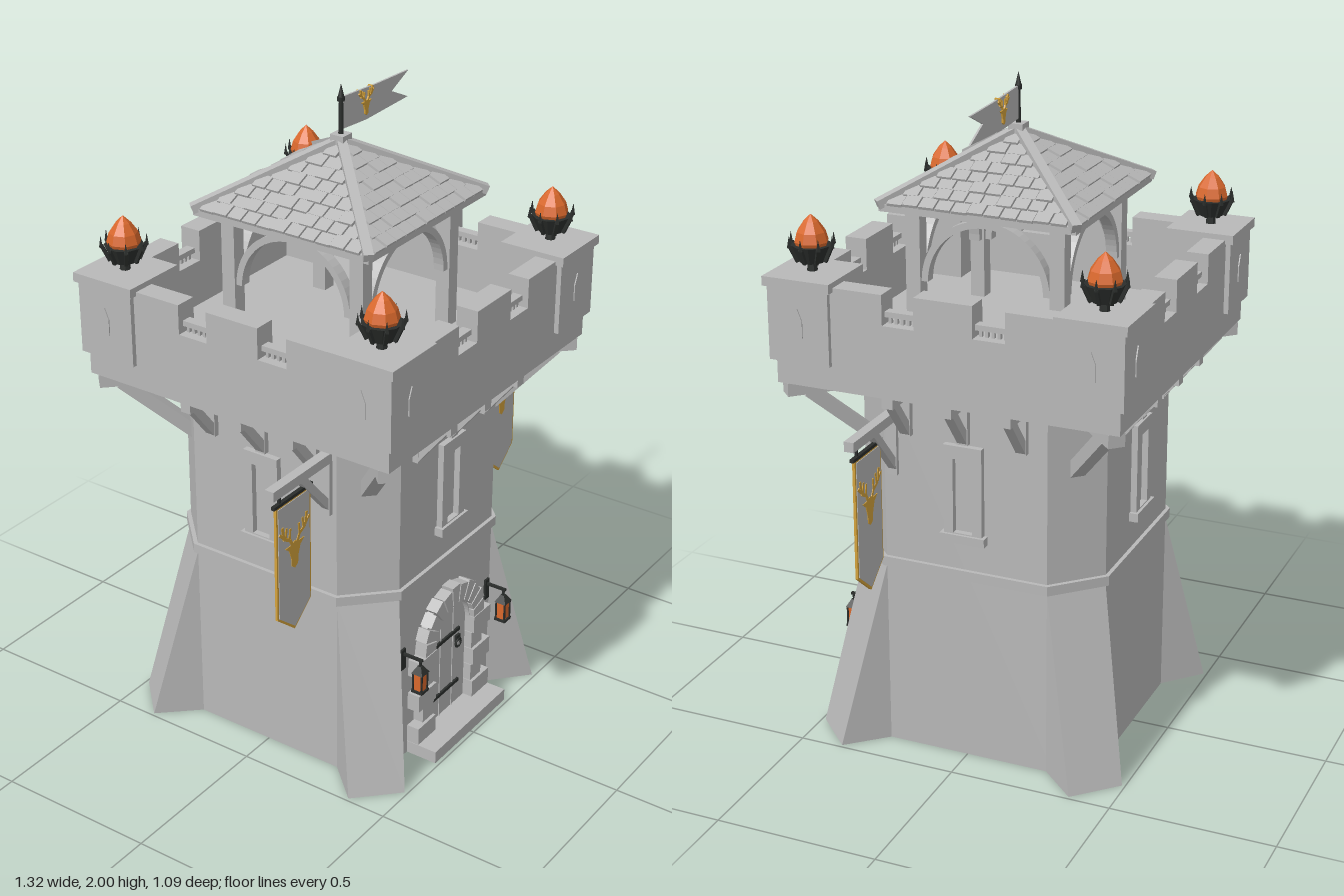
import * as THREE from 'three';
import { ConvexGeometry } from 'three/addons/geometries/ConvexGeometry.js';

const mat = (name, color) => Object.assign(new THREE.MeshStandardMaterial({ color }), { name });
const stone = mat('stone', 0xb8b8b8), iron = mat('iron', 0x2b2e2c);
const flame = mat('flame', 0xd9682c), gold = mat('gold', 0xd4a23c);
const V = (x, y, z) => new THREE.Vector3(x, y, z);

// every face is flat shaded through its own normals
function add(parent, name, geo, m, x = 0, y = 0, z = 0) {
  const g = geo.index ? geo.toNonIndexed() : geo;
  g.computeVertexNormals();
  const mesh = new THREE.Mesh(g, m);
  mesh.name = name;
  mesh.position.set(x, y, z);
  parent.add(mesh);
  return mesh;
}
const box = (p, name, w, h, d, m, x, y, z) => add(p, name, new THREE.BoxGeometry(w, h, d), m, x, y, z);
function beam(p, name, a, b, w, h, m) {
  const mid = a.clone().add(b).multiplyScalar(0.5);
  const mesh = box(p, name, w, h, a.distanceTo(b), m, mid.x, mid.y, mid.z);
  mesh.quaternion.setFromRotationMatrix(new THREE.Matrix4().lookAt(b, a, V(0, 1, 0)));
  return mesh;
}
const poly = pts => new THREE.Shape(pts.map(p => new THREE.Vector2(p[0], p[1])));
const slab = (shape, depth) => new THREE.ExtrudeGeometry(shape, { depth, bevelEnabled: false, curveSegments: 14 });
const group = (parent, name) => {
  const g = new THREE.Group();
  g.name = name;
  parent.add(g);
  return g;
};
// four copies turned about the tower
function fourSides(parent, name, build) {
  for (let k = 0; k < 4; k++) {
    const g = group(parent, name);
    g.rotation.y = k * Math.PI / 2;
    build(g, k);
  }
}
// square with cut corners, a = half width, c = half length of a flat side
const octagon = (a, c) => poly([[c, -a], [a, -c], [a, c], [c, a], [-c, a], [-a, c], [-a, -c], [-c, -a]]);
function octPrism(p, name, shape, y0, y1) {
  add(p, name, slab(shape, y1 - y0), stone, 0, y0, 0).rotation.x = -Math.PI / 2;
}
// arch band between two radii
function archBand(r0, r1) {
  const s = new THREE.Shape();
  s.absarc(0, 0, r1, 0, Math.PI, false);
  s.absarc(0, 0, r0, Math.PI, 0, true);
  return s;
}
// gold antlered head, centred on its own origin, visible from both faces
function emblem(parent, x, y, z, s) {
  const g = group(parent, 'emblem');
  g.position.set(x, y, z);
  g.scale.set(s, s, 1);
  const d = 0.016;
  add(g, 'emblemHead', slab(poly([[0, -0.08], [0.014, -0.07], [0.016, -0.045], [0.026, -0.015], [0.045, 0],
    [0.02, 0], [0, 0.008], [-0.02, 0], [-0.045, 0], [-0.026, -0.015], [-0.016, -0.045], [-0.014, -0.07]]), d), gold, 0, 0, -d / 2);
  for (const m of [-1, 1]) {
    const path = [[0.012, 0], [0.022, 0.02], [0.05, 0.035], [0.057, 0.075]];
    for (let i = 0; i < 3; i++) beam(g, 'antler', V(m * path[i][0], path[i][1], 0), V(m * path[i + 1][0], path[i + 1][1], 0), d, 0.01, gold);
    beam(g, 'antlerTine', V(m * 0.024, 0.02, 0), V(m * 0.02, 0.055, 0), d, 0.008, gold);
    beam(g, 'antlerTine', V(m * 0.043, 0.03, 0), V(m * 0.037, 0.065, 0), d, 0.008, gold);
    beam(g, 'antlerTine', V(m * 0.052, 0.04, 0), V(m * 0.07, 0.058, 0), d, 0.008, gold);
  }
}

function buildBody(root) {
  const base = octagon(0.385, 0.255);
  base.holes.push(octagon(0.32, 0.29));
  octPrism(root, 'baseRing', base, 0, 0.05);
  octPrism(root, 'towerWall', octagon(0.385, 0.255), 0.05, 1.165);
  octPrism(root, 'stringCourse', octagon(0.397, 0.261), 0.583, 0.613);
  fourSides(root, 'wallSide', g => {
    // sloped corner buttress
    add(g, 'buttress', new ConvexGeometry([V(0.255, 0.583, 0.385), V(0.385, 0.583, 0.255), V(0.255, 0, 0.385),
      V(0.385, 0, 0.255), V(0.37, 0, 0.49), V(0.49, 0, 0.37)]), stone);
    // slit window
    const frame = poly([[-0.06, 0.72], [0.06, 0.72], [0.06, 1.005], [-0.06, 1.005]]);
    frame.holes.push(poly([[-0.03, 0.735], [-0.03, 0.965], [0.03, 0.965], [0.03, 0.735]]));
    add(g, 'windowFrame', slab(frame, 0.022), stone, 0, 0, 0.382);
    box(g, 'windowSill', 0.14, 0.027, 0.035, stone, 0, 0.718, 0.395);
    // small brackets below the platform
    for (const x of [-0.18, 0, 0.18]) {
      box(g, 'bracketPost', 0.034, 0.155, 0.02, stone, x, 1.088, 0.393);
      box(g, 'bracketArm', 0.034, 0.035, 0.13, stone, x, 1.148, 0.445);
      beam(g, 'bracketBrace', V(x, 1.02, 0.39), V(x, 1.14, 0.485), 0.03, 0.026, stone);
    }
    // large corner bracket
    beam(g, 'cornerArm', V(0.3, 1.145, 0.3), V(0.505, 1.145, 0.505), 0.05, 0.04, stone);
    beam(g, 'cornerBrace', V(0.31, 0.95, 0.31), V(0.46, 1.135, 0.46), 0.045, 0.04, stone);
  });
}

function buildDoor(root) {
  const g = group(root, 'doorway');
  box(g, 'doorStep', 0.4, 0.04, 0.11, stone, 0, 0.02, 0.433);
  const door = poly([[-0.105, 0.04], [0.105, 0.04]]);
  door.absarc(0, 0.33, 0.105, 0, Math.PI, false);
  add(g, 'door', slab(door, 0.01), stone, 0, 0, 0.382);
  for (const x of [-0.035, 0.035]) box(g, 'doorPlankSeam', 0.004, 0.36, 0.004, stone, x, 0.22, 0.393);
  for (const y of [0.12, 0.31]) box(g, 'hinge', 0.17, 0.011, 0.008, iron, -0.018, y, 0.395);
  add(g, 'doorRing', new THREE.TorusGeometry(0.014, 0.004, 5, 10), iron, 0.058, 0.262, 0.399);
  box(g, 'ringPlate', 0.022, 0.022, 0.008, iron, 0.058, 0.278, 0.396);
  for (const m of [-1, 1]) {
    for (let i = 0; i < 5; i++) {
      const w = i % 2 ? 0.06 : 0.095, d = i % 2 ? 0.038 : 0.046;
      box(g, 'jambStone', w, 0.057, d, stone, m * (0.105 + w / 2), 0.07 + i * 0.0595, 0.38 + d / 2);
    }
  }
  add(g, 'archRim', slab(archBand(0.104, 0.155), 0.025), stone, 0, 0.335, 0.382);
  // wedge stones round the arch
  for (let i = 0; i < 11; i++) {
    const a = Math.PI * (i + 0.5) / 11, r = i % 2 ? 0.17 : 0.164;
    const wedge = poly([[0.106, -0.013], [r, -0.021], [r, 0.021], [0.106, 0.013]]);
    add(g, 'archStone', slab(wedge, 0.042), stone, 0, 0.335, 0.382).rotation.z = a;
  }
  // hanging lanterns
  for (const m of [-1, 1]) {
    const l = group(g, 'lantern');
    l.position.set(m * 0.235, 0, 0.45);
    box(l, 'lanternGlow', 0.028, 0.06, 0.028, flame, 0, 0.308, 0);
    box(l, 'lanternBase', 0.038, 0.008, 0.038, iron, 0, 0.275, 0);
    add(l, 'lanternCap', new THREE.CylinderGeometry(0.009, 0.028, 0.024, 4).rotateY(Math.PI / 4), iron, 0, 0.349, 0);
    for (const a of [-1, 1]) for (const b of [-1, 1]) box(l, 'lanternBar', 0.005, 0.065, 0.005, iron, a * 0.015, 0.307, b * 0.015);
    box(l, 'lanternHook', 0.006, 0.022, 0.006, iron, 0, 0.37, 0);
    box(l, 'lanternArm', 0.008, 0.008, 0.075, iron, 0, 0.38, -0.03);
    box(l, 'lanternPlate', 0.022, 0.07, 0.008, iron, 0, 0.36, -0.062);
  }
}

function buildBattlements(root) {
  box(root, 'platform', 1.04, 0.075, 1.04, stone, 0, 1.2025, 0);
  const wall = poly([[-0.36, 1.235], [0.36, 1.235], [0.36, 1.47], [0.185, 1.47], [0.185, 1.38], [0.088, 1.38],
    [0.088, 1.475], [-0.088, 1.475], [-0.088, 1.38], [-0.185, 1.38], [-0.185, 1.47], [-0.36, 1.47]]);
  const slit = poly([[-0.014, 1.315], [0.014, 1.315], [0.014, 1.365], [0, 1.4], [-0.014, 1.365]]);
  fourSides(root, 'battlement', g => {
    add(g, 'parapet', slab(wall, 0.068), stone, 0, 0, 0.452);
    // little railing in each gap
    for (const m of [-1, 1]) {
      box(g, 'gapRail', 0.1, 0.016, 0.03, stone, m * 0.137, 1.408, 0.486);
      for (let i = 0; i < 5; i++) box(g, 'baluster', 0.009, 0.022, 0.012, stone, m * (0.1 + i * 0.0185), 1.39, 0.486);
      add(g, 'arrowSlit', slab(slit, 0.006), stone, m * 0.44, 0, 0.5325);
    }
    box(g, 'cornerTurret', 0.19, 0.222, 0.19, stone, 0.44, 1.349, 0.44);
    box(g, 'turretCap', 0.21, 0.028, 0.21, stone, 0.44, 1.472, 0.44);
    // fire basket
    const f = group(g, 'fireBasket');
    f.position.set(0.44, 1.485, 0.44);
    add(f, 'basketStem', new THREE.CylinderGeometry(0.012, 0.016, 0.035, 8), iron, 0, 0.017, 0);
    add(f, 'basketBowl', new THREE.CylinderGeometry(0.058, 0.036, 0.05, 10), iron, 0, 0.052, 0);
    for (let i = 0; i < 8; i++) {
      const a = i * Math.PI / 4, c = Math.cos(a), s = Math.sin(a);
      beam(f, 'basketSpike', V(c * 0.042, 0.03, s * 0.042), V(c * 0.064, 0.078, s * 0.064), 0.01, 0.01, iron);
      add(f, 'spikeTip', new THREE.ConeGeometry(0.007, 0.035, 4), iron, c * 0.065, 0.09, s * 0.065);
    }
    const profile = [[0, 0], [0.042, 0.003], [0.05, 0.022], [0.042, 0.05], [0.022, 0.079], [0, 0.1]];
    add(f, 'fire', new THREE.LatheGeometry(profile.map(p => new THREE.Vector2(...p)), 8), flame, 0, 0.065, 0);
  });
}

function buildPavilion(root) {
  const pitch = Math.atan2(0.17, 0.3), rows = 8;
  add(root, 'roofCore', new THREE.CylinderGeometry(0.015, 0.3 * Math.SQRT2, 0.165, 4).rotateY(Math.PI / 4), stone, 0, 1.7375, 0);
  box(root, 'eaves', 0.6, 0.022, 0.6, stone, 0, 1.647, 0);
  box(root, 'roofCap', 0.045, 0.03, 0.045, stone, 0, 1.838, 0);
  fourSides(root, 'pavilionSide', g => {
    box(g, 'post', 0.045, 0.4, 0.045, stone, 0.222, 1.43, 0.222);
    box(g, 'headBeam', 0.49, 0.026, 0.045, stone, 0, 1.63, 0.222);
    add(g, 'archBrace', slab(archBand(0.178, 0.198), 0.034), stone, 0, 1.424, 0.205);
    beam(g, 'hipRidge', V(0.302, 1.656, 0.302), V(0.008, 1.828, 0.008), 0.028, 0.026, stone);
    // staggered shingle rows
    for (let r = 0; r < rows; r++) {
      const t = (r + 0.5) / (rows + 0.4), half = 0.3 * (1 - t) - 0.008;
      const n = Math.max(1, Math.round(half * 2 / 0.05));
      for (let i = 0; i < n; i++) {
        const w = half * 2 / n, lift = ((i * 7 + r * 5) % 4) * 0.0012;
        const s = box(g, 'shingle', w - 0.004, 0.009, 0.046, stone, -half + (i + 0.5) * w, 1.658 + 0.17 * t + lift, 0.3 * (1 - t) + lift);
        s.rotation.x = pitch - 0.1;
      }
    }
  });
  // spear finial and swallow-tailed pennant
  add(root, 'flagPole', new THREE.CylinderGeometry(0.006, 0.008, 0.12, 8), iron, 0, 1.905, 0);
  add(root, 'poleCollar', new THREE.CylinderGeometry(0.011, 0.011, 0.012, 8), iron, 0, 1.955, 0);
  add(root, 'poleTip', new THREE.ConeGeometry(0.011, 0.045, 8), iron, 0, 1.9775, 0);
  const flag = poly([[0.006, 1.865], [0.12, 1.858], [0.335, 1.865], [0.25, 1.905], [0.335, 1.945], [0.17, 1.95], [0.006, 1.96]]);
  add(root, 'pennant', slab(flag, 0.006), stone, 0, 0, -0.003);
  emblem(root, 0.117, 1.915, 0, 0.52);
}

function buildBanner(root, m) {
  const g = group(root, m > 0 ? 'leftBanner' : 'rightBanner');
  g.position.set(0, 0, 0.225);
  box(g, 'bannerBeam', 0.285, 0.03, 0.03, stone, m * 0.517, 1.065, 0);
  beam(g, 'bannerBrace', V(m * 0.383, 0.9, 0), V(m * 0.52, 1.055, 0), 0.024, 0.024, stone);
  box(g, 'bannerPost', 0.018, 0.2, 0.03, stone, m * 0.39, 0.98, 0);
  box(g, 'bannerRod', 0.18, 0.01, 0.012, iron, m * 0.555, 1.017, 0);
  for (const s of [-1, 1]) box(g, 'bannerRing', 0.006, 0.035, 0.008, iron, m * 0.555 + s * 0.06, 1.035, 0);
  const cloth = i => poly([[-0.08 + i, 1.013 - i], [-0.08 + i, 0.65 + i * 0.4], [0, 0.583 + i * 1.3], [0.08 - i, 0.65 + i * 0.4], [0.08 - i, 1.013 - i]]);
  add(g, 'bannerTrim', slab(cloth(0), 0.008), gold, m * 0.555, 0, -0.004);
  add(g, 'bannerCloth', slab(cloth(0.007), 0.012), stone, m * 0.555, 0, -0.006);
  emblem(g, m * 0.555, 0.868, 0, 1);
}

export function createModel() {
  const root = new THREE.Group();
  root.name = 'watchtower';
  buildBody(root);
  buildDoor(root);
  buildBattlements(root);
  buildPavilion(root);
  for (const m of [-1, 1]) buildBanner(root, m);
  return root;
}
